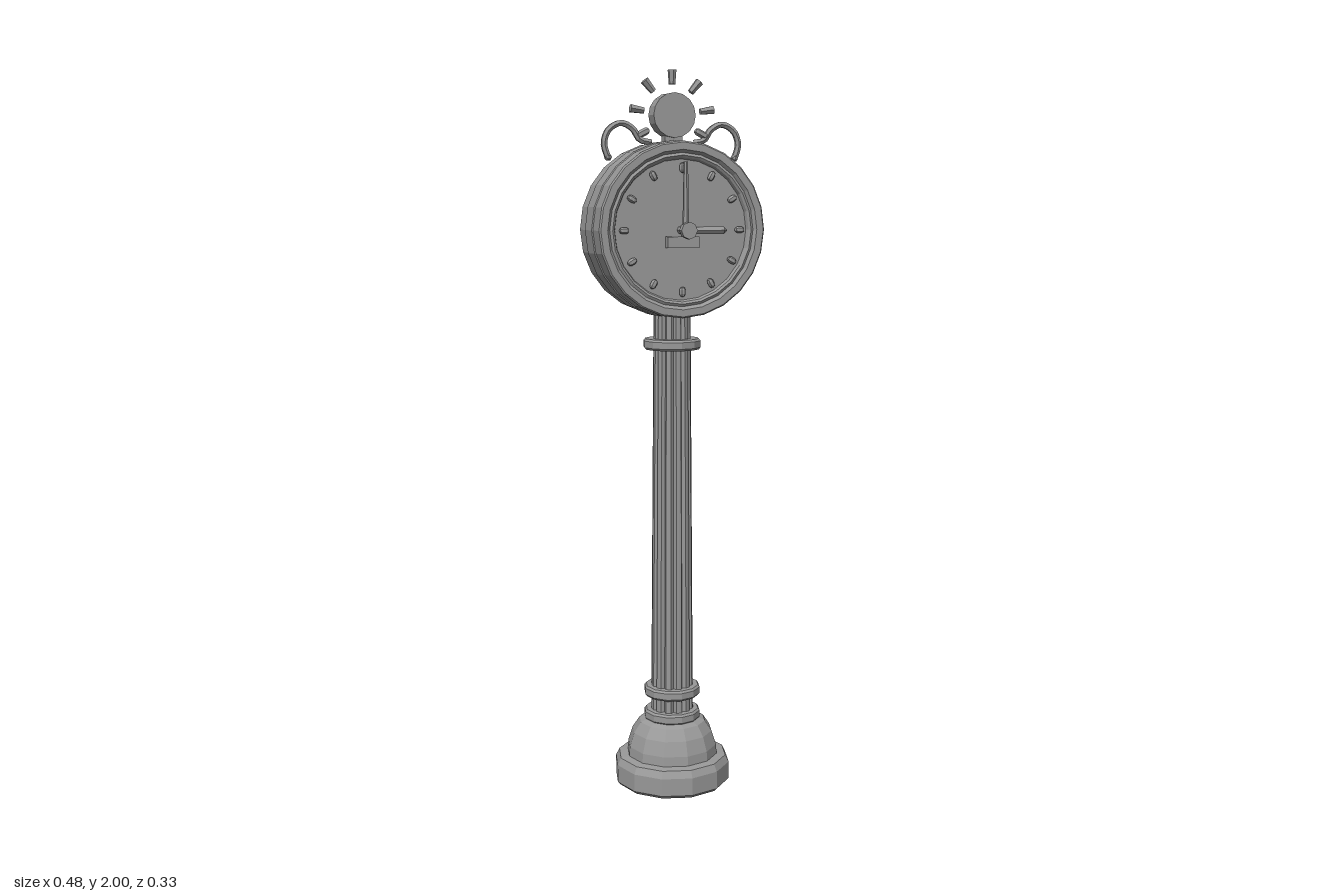
import * as THREE from 'three';

export function createModel() {
  const model = new THREE.Group();
  const grey = new THREE.MeshStandardMaterial({ color: 0x999999, flatShading: true });
  grey.name = 'castGrey';

  const add = (parent, name, geometry, x = 0, y = 0, z = 0) => {
    const mesh = new THREE.Mesh(geometry, grey);
    mesh.name = name;
    mesh.position.set(x, y, z);
    parent.add(mesh);
    return mesh;
  };
  const lathe = (points, sides) =>
    new THREE.LatheGeometry(points.map(([r, y]) => new THREE.Vector2(r, y)), sides);
  const disc = (r, depth, sides) => new THREE.CylinderGeometry(r, r, depth, sides).rotateX(Math.PI / 2);

  // Stepped plinth with a bell-shaped top
  add(model, 'base', lathe([
    [0, 0], [0.155, 0], [0.165, 0.01], [0.165, 0.06], [0.155, 0.08], [0.13, 0.083],
    [0.128, 0.11], [0.115, 0.15], [0.095, 0.18], [0.07, 0.19], [0, 0.19],
  ], 12));

  // Fluted, slightly tapered column
  const shaft = new THREE.CylinderGeometry(0.051, 0.06, 1.18, 48, 1, true);
  const p = shaft.attributes.position;
  for (let i = 0; i < p.count; i++) {
    const groove = Math.cos(12 * Math.atan2(p.getX(i), p.getZ(i))) < -0.5 ? 0.84 : 1;
    p.setXYZ(i, p.getX(i) * groove, p.getY(i), p.getZ(i) * groove);
  }
  add(model, 'column', shaft, 0, 0.77, 0);

  // Collars around the column
  for (const y of [0.2, 0.27, 1.263]) {
    add(model, 'collar', lathe([
      [0, -0.015], [0.075, -0.015], [0.08, -0.009], [0.08, 0.009], [0.075, 0.015], [0, 0.015],
    ], 12), 0, y, 0);
  }

  // Drum with a raised band, rounded rims and recessed dials
  const head = new THREE.Group();
  head.name = 'clockHead';
  head.position.y = 1.575;
  model.add(head);
  const half = [
    [0.239, 0.03], [0.236, 0.032], [0.236, 0.086], [0.232, 0.09], [0.213, 0.09],
    [0.205, 0.082], [0.198, 0.086], [0.192, 0.082], [0.188, 0.072], [0, 0.072],
  ];
  const profile = [...half.map(([r, z]) => [r, -z]).reverse(), ...half];
  add(head, 'drum', lathe(profile, 24).rotateX(Math.PI / 2));

  // Dial details, repeated on both sides
  for (const side of [0, 1]) {
    const dial = new THREE.Group();
    dial.name = side ? 'backDial' : 'frontDial';
    dial.rotation.y = side * Math.PI;
    head.add(dial);
    for (let i = 0; i < 12; i++) {
      const a = i * Math.PI / 6;
      const tick = add(dial, 'hourMark', new THREE.CapsuleGeometry(0.009, 0.01, 2, 6),
        Math.sin(a) * 0.165, Math.cos(a) * 0.165, 0.082);
      tick.rotation.z = -a;
    }
    add(dial, 'spindle', disc(0.012, 0.05, 8), 0, 0, 0.095);
    add(dial, 'hub', disc(0.023, 0.018, 8), 0, 0, 0.127);
    add(dial, 'minuteHand', new THREE.CylinderGeometry(0.006, 0.009, 0.18, 6), 0, 0.09, 0.106);
    add(dial, 'hourHand', new THREE.CylinderGeometry(0.011, 0.011, 0.09, 6).rotateZ(-Math.PI / 2),
      0.06, 0, 0.113);
    add(dial, 'hourHandTip', new THREE.ConeGeometry(0.011, 0.012, 6).rotateZ(-Math.PI / 2),
      0.111, 0, 0.113);
    add(dial, 'dialPlaque', new THREE.BoxGeometry(0.09, 0.03, 0.02), 0, -0.032, 0.082);
  }

  // Sun ornament with rays
  const sun = new THREE.Group();
  sun.name = 'sunOrnament';
  sun.position.y = 1.88;
  model.add(sun);
  add(sun, 'sunDisc', disc(0.06, 0.044, 16));
  add(sun, 'sunStem', new THREE.BoxGeometry(0.05, 0.05, 0.03), 0, -0.07, 0);
  for (let i = -2; i <= 2; i++) {
    const a = i * THREE.MathUtils.degToRad(41);
    const ray = add(sun, 'ray', new THREE.CylinderGeometry(0.012, 0.009, 0.038, 6),
      Math.sin(a) * 0.101, Math.cos(a) * 0.101, 0);
    ray.rotation.z = -a;
  }

  // Scrolls on either side of the sun
  for (const s of [-1, 1]) {
    const path = new THREE.CatmullRomCurve3([
      [0.182, 1.765], [0.193, 1.805], [0.18, 1.84], [0.145, 1.858], [0.112, 1.843],
      [0.092, 1.815], [0.06, 1.808],
    ].map(([x, y]) => new THREE.Vector3(s * x, y, 0)));
    const scroll = new THREE.Group();
    scroll.name = s > 0 ? 'leftScroll' : 'rightScroll';
    model.add(scroll);
    add(scroll, 'scrollArch', new THREE.TubeGeometry(path, 18, 0.009, 6));
    add(scroll, 'scrollEnd', new THREE.IcosahedronGeometry(0.011, 0), s * 0.182, 1.768, 0);
    const curl = add(scroll, 'scrollCurl', new THREE.CapsuleGeometry(0.01, 0.025, 2, 6),
      s * 0.085, 1.832, 0);
    curl.rotation.z = s * 1.1;
  }
  return model;
}
